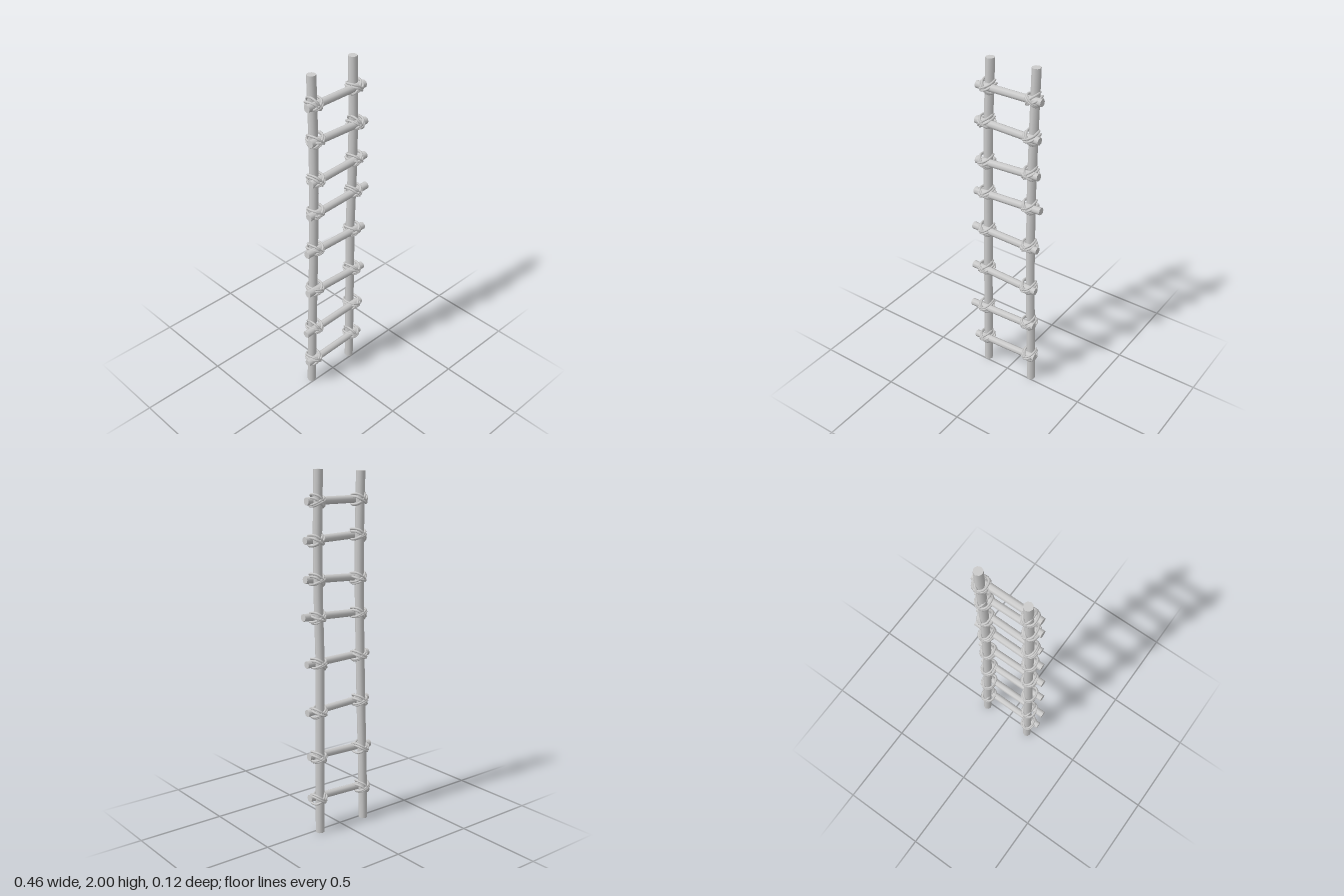
import * as THREE from 'three';

const material = new THREE.MeshStandardMaterial({ color: 0xcccccc });
const V = (x, y, z) => new THREE.Vector3(x, y, z);
const RAIL_R = 0.025, RUNG_R = 0.021, ROPE_R = 0.0065;

// Slightly crooked rail centre lines, bottom to top
const rails = {
  right: [V(-0.155, 0, -0.022), V(-0.15, 0.35, -0.018), V(-0.142, 0.7, -0.012), V(-0.135, 1.0, -0.01),
    V(-0.13, 1.35, -0.006), V(-0.126, 1.65, -0.01), V(-0.121, 1.985, -0.024)],
  left: [V(0.159, 0, -0.022), V(0.155, 0.3, -0.018), V(0.147, 0.7, -0.012), V(0.145, 1.0, -0.011),
    V(0.15, 1.35, -0.005), V(0.155, 1.65, -0.008), V(0.157, 2, -0.02)],
};

// Rungs: x at each end, y at each end, z
const rungs = [
  [-0.215, 0.205, 0.185, 0.2, 0.012],
  [-0.233, 0.2, 0.427, 0.44, 0.022],
  [-0.215, 0.208, 0.713, 0.695, 0.024],
  [-0.213, 0.212, 0.978, 0.97, 0.02],
  [-0.196, 0.23, 1.212, 1.23, 0.022],
  [-0.18, 0.213, 1.41, 1.43, 0.025],
  [-0.18, 0.213, 1.645, 1.635, 0.024],
  [-0.183, 0.213, 1.835, 1.838, 0.008],
];

// Interpolate a rail's centre at a given height
function railAt(points, y) {
  let i = 0;
  while (i < points.length - 2 && points[i + 1].y < y) i++;
  const a = points[i], b = points[i + 1];
  return a.clone().lerp(b, (y - a.y) / (b.y - a.y));
}

// Capped pole bent along the rail centre line
function makeRail(points) {
  const height = points[points.length - 1].y;
  const geo = new THREE.CylinderGeometry(RAIL_R, RAIL_R, height, 8, 12);
  geo.translate(0, height / 2, 0);
  const p = geo.attributes.position;
  for (let i = 0; i < p.count; i++) {
    const c = railAt(points, p.getY(i));
    p.setXYZ(i, p.getX(i) + c.x, p.getY(i), p.getZ(i) + c.z);
  }
  return new THREE.Mesh(geo, material);
}

function makeRung([x0, x1, y0, y1, z]) {
  const a = V(x0, y0, z), b = V(x1, y1, z);
  const mesh = new THREE.Mesh(new THREE.CylinderGeometry(RUNG_R, RUNG_R, a.distanceTo(b), 8), material);
  mesh.position.copy(a).lerp(b, 0.5);
  mesh.quaternion.setFromUnitVectors(V(0, 1, 0), b.sub(a).normalize());
  return mesh;
}

// One rope turn: a rounded loop around rail and rung in a diagonal plane
function makeRopeTurn(angle, offset, halfWidth, halfDepth) {
  const dir = V(Math.cos(angle), Math.sin(angle), 0);
  const side = V(-Math.sin(angle), Math.cos(angle), 0);
  const soft = (v) => Math.sign(v) * Math.abs(v) ** 0.8;
  const pts = [];
  for (let i = 0; i < 10; i++) {
    const t = (i / 10) * Math.PI * 2;
    pts.push(dir.clone().multiplyScalar(soft(Math.cos(t)) * halfWidth)
      .addScaledVector(side, offset + 0.004 * Math.sin(2 * t + angle * 5))
      .add(V(0, 0, soft(Math.sin(t)) * halfDepth)));
  }
  const curve = new THREE.CatmullRomCurve3(pts, true);
  return new THREE.Mesh(new THREE.TubeGeometry(curve, 20, ROPE_R, 6, true), material);
}

// Crossed rope turns binding a rung to a rail, varied by a joint number
function makeLashing(rail, rungZ, joint) {
  const group = new THREE.Group();
  const back = rail.z - RAIL_R - ROPE_R * 0.8, front = rungZ + RUNG_R + ROPE_R * 0.8;
  const halfDepth = (front - back) / 2;
  const flip = joint % 2 ? -1 : 1;
  const turns = [[0.62, -0.007, 0.042], [0.78, 0.007, 0.044], [-0.55, 0.005, 0.041], [-0.35, -0.006, 0.039]];
  turns.forEach(([angle, offset, width], i) => {
    const wobble = 0.12 * Math.sin(joint * 2.3 + i * 1.7);
    group.add(makeRopeTurn(flip * angle + wobble, offset, width, halfDepth + 0.001 * i));
  });
  group.position.set(rail.x, rail.y, (front + back) / 2);
  return group;
}

export function createModel() {
  const model = new THREE.Group();
  model.name = 'ladder';
  const add = (object, name) => {
    object.name = name;
    model.add(object);
  };

  for (const side in rails) add(makeRail(rails[side]), `${side}Rail`);

  rungs.forEach((rung, i) => {
    add(makeRung(rung), `rung${i + 1}`);
    const [x0, x1, y0, y1, z] = rung;
    Object.keys(rails).forEach((side, s) => {
      // Height of the rung where it crosses this rail
      const x = railAt(rails[side], (y0 + y1) / 2).x;
      const y = y0 + ((x - x0) / (x1 - x0)) * (y1 - y0);
      add(makeLashing(railAt(rails[side], y), z, i + s), `${side}Lashing${i + 1}`);
    });
  });
  return model;
}
